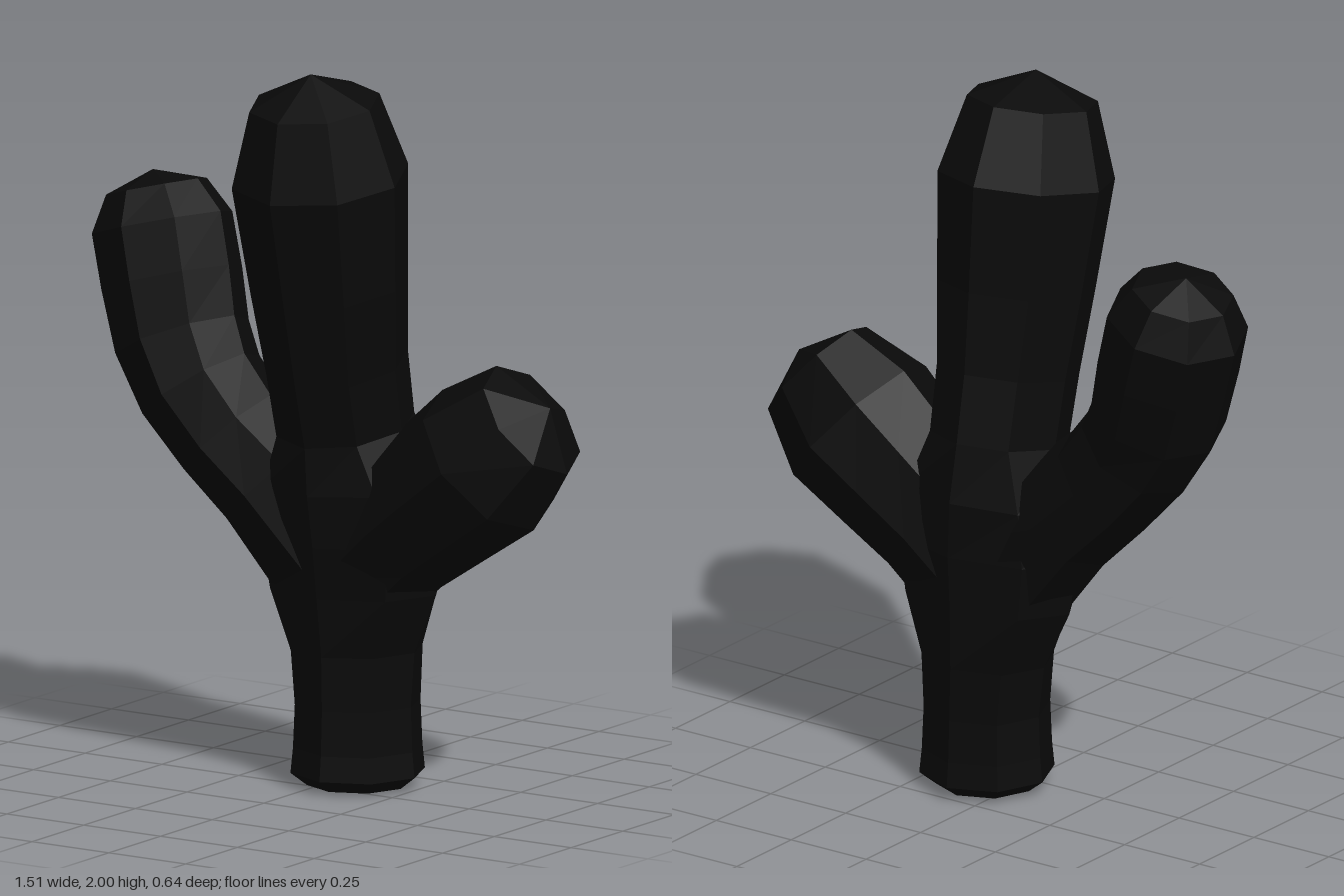
import * as THREE from 'three';

const SIDES = 8;
const material = new THREE.MeshStandardMaterial({ color: 0x0a0a0a, flatShading: true });

// Skin a limb from rings [x, y, z, radius across, radius in depth]; radius 0 makes a pole.
function limb(name, rings) {
  const centers = rings.map(([x, y, z]) => new THREE.Vector3(x, y, z));
  const points = rings.map(([, , , ra, rd = ra], i) => {
    const t = centers[Math.min(i + 1, rings.length - 1)].clone()
      .sub(centers[Math.max(i - 1, 0)]).normalize();
    const n = new THREE.Vector3(0, 0, 1);
    n.addScaledVector(t, -n.dot(t)).normalize();
    const b = new THREE.Vector3().crossVectors(t, n);
    return Array.from({ length: SIDES }, (_, j) => {
      const a = (j / SIDES) * Math.PI * 2;
      return centers[i].clone()
        .addScaledVector(n, Math.cos(a) * rd)
        .addScaledVector(b, Math.sin(a) * ra);
    });
  });
  const pos = [];
  const tri = (...vs) => vs.forEach((v) => pos.push(v.x, v.y, v.z));
  for (let i = 0; i < rings.length - 1; i++) {
    for (let j = 0; j < SIDES; j++) {
      const k = (j + 1) % SIDES;
      const [p, q] = [points[i], points[i + 1]];
      if (rings[i][3] > 0) tri(p[j], p[k], q[k]);
      if (rings[i + 1][3] > 0) tri(p[j], q[k], q[j]);
    }
  }
  const geometry = new THREE.BufferGeometry();
  geometry.setAttribute('position', new THREE.Float32BufferAttribute(pos, 3));
  geometry.computeVertexNormals();
  const mesh = new THREE.Mesh(geometry, material);
  mesh.name = name;
  return mesh;
}

export function createModel() {
  const cactus = new THREE.Group();
  cactus.name = 'cactus';

  // Upright stem: narrow foot, wide fork, rounded top leaning forward
  cactus.add(limb('trunk', [
    [0.08, 0, -0.085, 0],
    [0.08, 0.005, -0.085, 0.14],
    [0.08, 0.04, -0.085, 0.185],
    [0.08, 0.11, -0.085, 0.178],
    [0.08, 0.23, -0.085, 0.173],
    [0.075, 0.38, -0.088, 0.188, 0.172],
    [0.07, 0.55, -0.085, 0.265, 0.185],
    [0.07, 0.7, -0.08, 0.29, 0.2],
    [0.065, 0.85, -0.07, 0.26, 0.21],
    [0.06, 1.0, -0.055, 0.185, 0.2],
    [0.06, 1.18, -0.015, 0.19, 0.205],
    [0.065, 1.41, 0.03, 0.215, 0.222],
    [0.065, 1.71, 0.075, 0.243, 0.245],
    [0.07, 1.92, 0.11, 0.18, 0.18],
    [0.065, 2.0, 0.12, 0],
  ]));

  // Long arm curving upward
  cactus.add(limb('rightArm', [
    [0.02, 0.62, -0.075, 0.2, 0.17],
    [-0.16, 0.82, -0.055, 0.175, 0.18],
    [-0.29, 0.94, -0.035, 0.167, 0.18],
    [-0.39, 1.06, -0.025, 0.175, 0.185],
    [-0.465, 1.18, -0.045, 0.188],
    [-0.515, 1.33, -0.07, 0.195],
    [-0.56, 1.475, -0.09, 0.198, 0.19],
    [-0.585, 1.57, -0.1, 0.14],
    [-0.6, 1.615, -0.105, 0],
  ]));

  // Short thick arm reaching outward
  cactus.add(limb('leftArm', [
    [0.08, 0.6, -0.085, 0.2, 0.17],
    [0.22, 0.73, -0.085, 0.2, 0.19],
    [0.36, 0.84, -0.085, 0.215],
    [0.505, 0.95, -0.085, 0.23, 0.235],
    [0.64, 1.075, -0.095, 0.178, 0.168],
    [0.7, 1.115, -0.095, 0],
  ]));

  return cactus;
}
